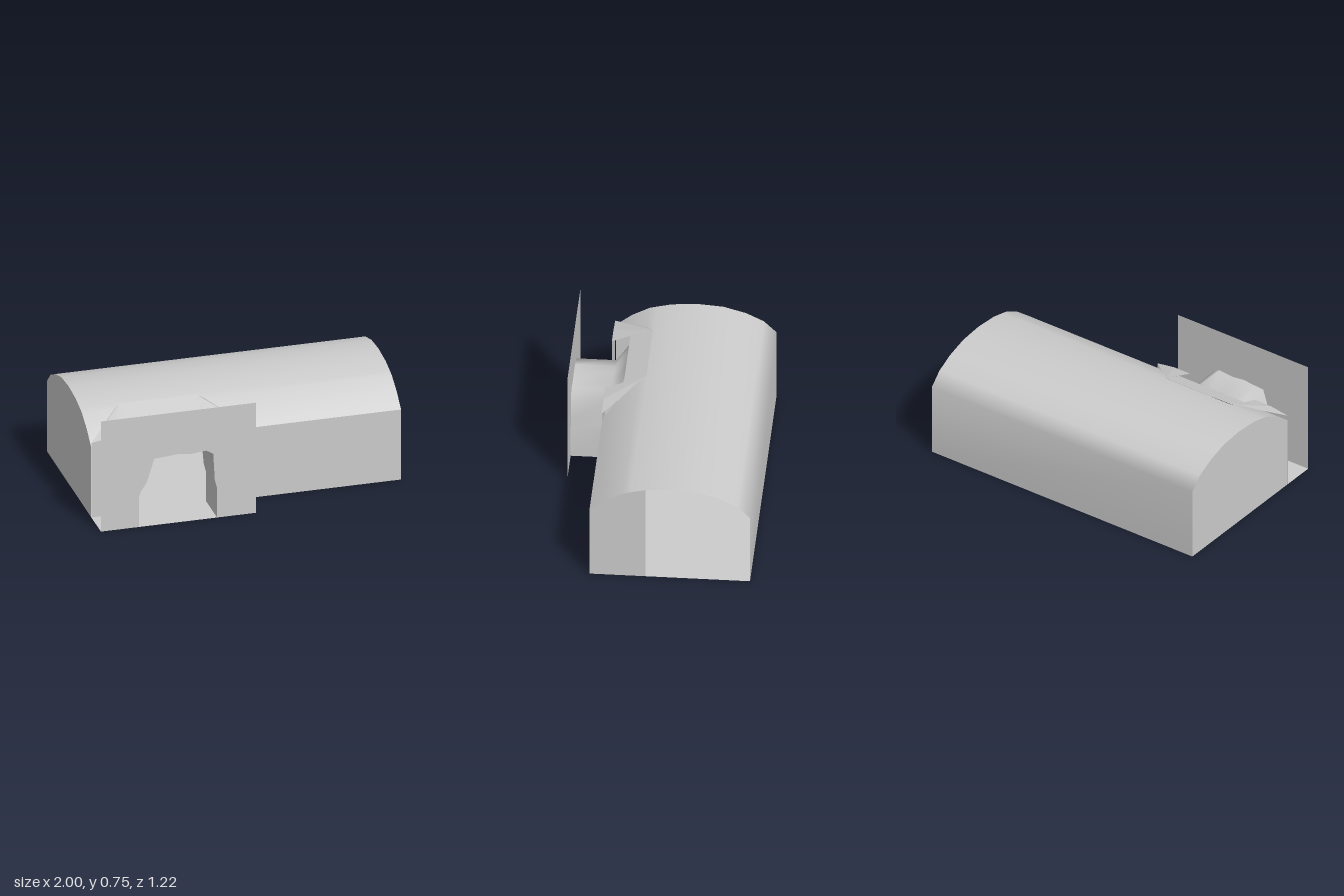
import * as THREE from 'three';

const mat = new THREE.MeshStandardMaterial({ color: 0xcccccc, side: THREE.DoubleSide });
const CX = -0.5; // centre line of the entrance

// Skin between rows of points; every row has the same number of points
function loft(rows) {
  const n = rows[0].length, index = [];
  for (let r = 0; r < rows.length - 1; r++) {
    for (let i = 0; i < n - 1; i++) {
      const a = r * n + i, b = a + n;
      index.push(a, b, a + 1, b, b + 1, a + 1);
    }
  }
  const g = new THREE.BufferGeometry();
  g.setAttribute('position', new THREE.Float32BufferAttribute(rows.flat(2), 3));
  g.setIndex(index);
  g.computeVertexNormals();
  return g;
}

// Flat polygon from 2D points
function flat(points, holes = []) {
  const s = new THREE.Shape(points.map(p => new THREE.Vector2(...p)));
  holes.forEach(h => s.holes.push(new THREE.Path(h.map(p => new THREE.Vector2(...p)))));
  return new THREE.ShapeGeometry(s);
}

export function createModel() {
  const model = new THREE.Group();
  const add = (name, geometry) => {
    const m = new THREE.Mesh(geometry, mat);
    m.name = name;
    model.add(m);
    return m;
  };

  // Vault profile as (z, y), back to front
  const back = [[-0.61, 0.48], [-0.53, 0.56], [-0.42, 0.615], [-0.28, 0.655],
    [-0.12, 0.667], [0.04, 0.655], [0.14, 0.631]];
  const front = [[0.14, 0.631], [0.18, 0.62], [0.29, 0.56], [0.39, 0.48]];
  const vault = [...back, ...front.slice(1)];

  // Hall shell, with the vault cut away in a splay above the entrance
  add('vaultAndBackWall', loft([[-0.61, 0], ...back].map(([z, y]) => [[-1, y, z], [1, y, z]])));
  const half = z => 0.25 + (z - 0.14);
  add('vaultFrontRight', loft(front.map(([z, y]) => [[CX + half(z), y, z], [1, y, z]])));
  add('vaultFrontLeft', loft(front.map(([z, y]) => [[-1, y, z], [CX - half(z), y, z]])));
  add('frontWall', loft([[[0, 0.48, 0.39], [1, 0.48, 0.39]], [[0, 0, 0.39], [1, 0, 0.39]]]));

  // End walls: one full, one covering only the front part
  const endWall = (name, x, z0) => {
    const top = vault.filter(p => p[0] >= z0);
    const g = flat([[-z0, 0], ...top.map(([z, y]) => [-z, y]), [-0.39, 0]]);
    g.rotateY(Math.PI / 2).translate(x, 0, 0);
    add(name, g);
  };
  endWall('fullEndWall', -1, -0.61);
  endWall('partEndWall', 1, 0.04);

  // Floor with the porch extension
  const floor = flat([[-1, 0.61], [1, 0.61], [1, -0.39], [-0.25, -0.39], [-0.25, -0.61], [-1, -0.61]]);
  floor.rotateX(-Math.PI / 2);
  add('floor', floor);

  // Facade with a rough arched opening
  const arch = [[-0.755, 0], [-0.755, 0.2], [-0.74, 0.245], [-0.705, 0.295], [-0.655, 0.455],
    [-0.58, 0.46], [-0.5, 0.468], [-0.42, 0.457], [-0.32, 0.468], [-0.275, 0.44],
    [-0.265, 0.26], [-0.25, 0.2], [-0.25, 0]];
  const facade = flat([[-1, 0], ...arch, [0, 0], [0, 0.755], [-1, 0.755]]);
  facade.translate(0, 0, 0.61);
  add('facade', facade);

  // Entrance tunnel, its top rising to meet the splayed roof
  add('tunnel', loft([
    arch.map(([x, y]) => [x, y, 0.61]),
    arch.map(([x, y]) => [x, y, 0.36]),
    arch.map(([x, y]) => (y > 0.4 ? [x, 0.575, 0.28] : [x, y, 0.36])),
  ]));

  // Splayed roof over the entrance
  add('entranceRoof', loft([
    [[-0.75, 0.633, 0.14], [-0.25, 0.633, 0.14]],
    [[-0.75, 0.575, 0.28], [-0.25, 0.575, 0.28]],
  ]));
  for (const s of [-1, 1]) {
    const x = d => CX + s * d;
    const inner = [x(0.25), 0.633, 0.14], hip = [x(0.37), 0.53, 0.395];
    const side = s < 0 ? 'Left' : 'Right';
    add('entranceRoof' + side, loft([[inner, inner], [[x(0.25), 0.53, 0.395], hip]]));
    add('entranceHip' + side, loft([[inner, inner], [hip, [x(0.5), 0.51, 0.395]]]));
    const panel = flat([[x(0.25), 0], [x(0.5), 0], [x(0.5), 0.51], [x(0.37), 0.53], [x(0.25), 0.53]]);
    panel.translate(0, 0, 0.395);
    add('entranceWall' + side, panel);
  }
  return model;
}
